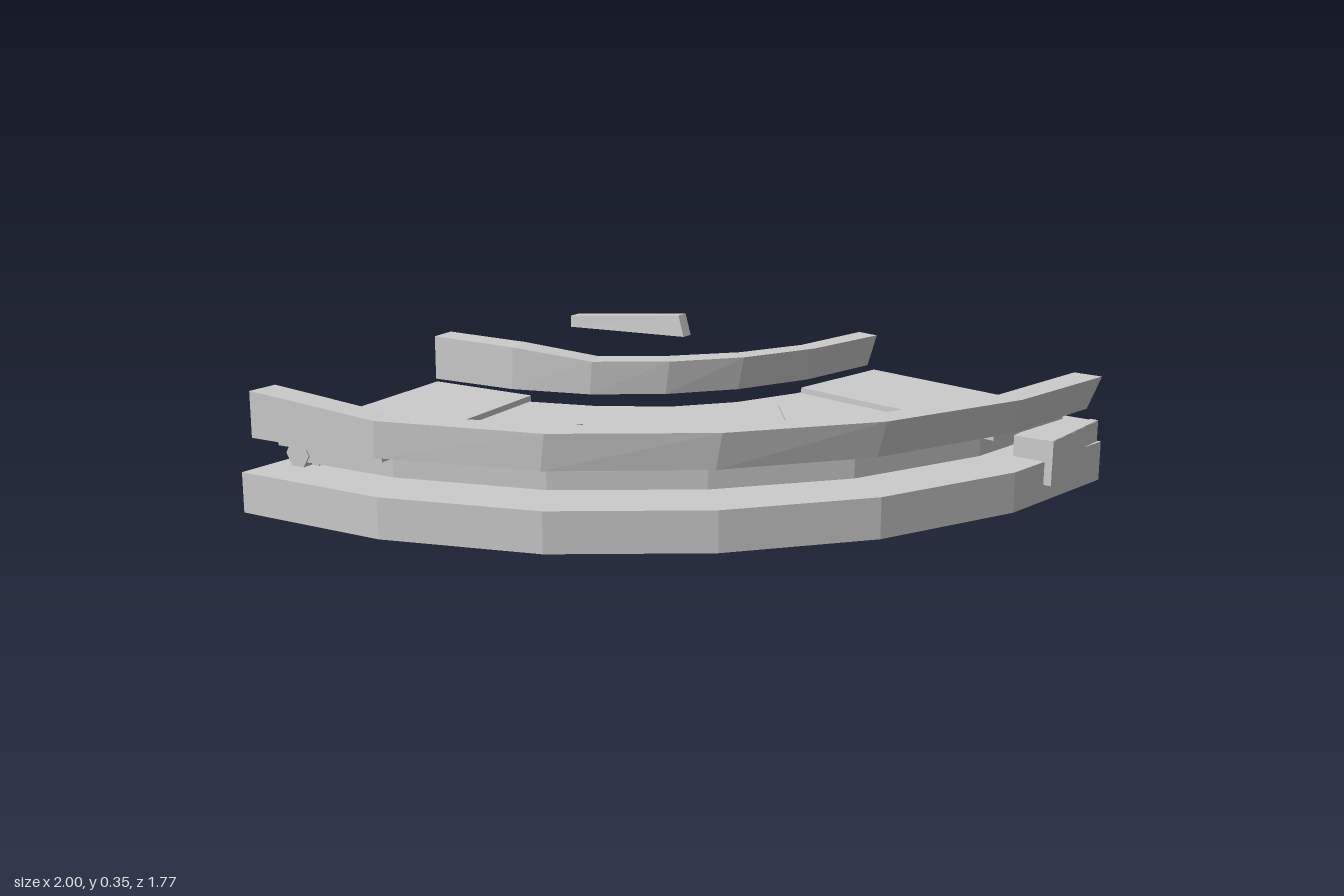
import * as THREE from 'three';

const mat = new THREE.MeshStandardMaterial({ color: 0xcccccc, flatShading: true });

// Solid swept through four-cornered rings: outer bottom, outer top, inner top, inner bottom
function loft(name, rings) {
  const pos = [];
  const quad = (a, b, c, d) => pos.push(...a, ...b, ...c, ...a, ...c, ...d);
  for (let i = 0; i < rings.length - 1; i++) {
    const s = rings[i], e = rings[i + 1];
    for (let k = 0; k < 4; k++) quad(s[k], e[k], e[(k + 1) % 4], s[(k + 1) % 4]);
  }
  const last = rings[rings.length - 1];
  quad(...rings[0]);
  quad(last[3], last[2], last[1], last[0]);
  const geo = new THREE.BufferGeometry();
  geo.setAttribute('position', new THREE.Float32BufferAttribute(pos, 3));
  geo.computeVertexNormals();
  const mesh = new THREE.Mesh(geo, mat);
  mesh.name = name;
  return mesh;
}

// Level slab between an outer and an inner line of [x, z] points
function slab(name, outer, inner, y0, y1) {
  return loft(name, outer.map(([x, z], i) => {
    const [u, w] = inner[i];
    return [[x, y0, z], [x, y1, z], [u, y1, w], [u, y0, w]];
  }));
}

// Rail whose top leans towards +x along the bend; the first tops can be raised
function rail(name, outer, inner, lean, raised) {
  const n = outer.length - 1;
  return loft(name, outer.map(([x, z], i) => {
    const [u, w] = inner[i], d = lean * i / n, top = raised[i] ?? 0.32;
    return [[x - d, 0.22, z], [x, top, z], [u, top, w], [u - d, 0.22, w]];
  }));
}

function box(name, w, h, d, x, y, z) {
  const mesh = new THREE.Mesh(new THREE.BoxGeometry(w, h, d), mat);
  mesh.position.set(x, y, z);
  mesh.name = name;
  return mesh;
}

// Bar lying between two [x, z] points
function bar(name, [x0, z0], [x1, z1], y, geoOf) {
  const mesh = new THREE.Mesh(geoOf(Math.hypot(x1 - x0, z1 - z0)), mat);
  mesh.position.set((x0 + x1) / 2, y, (z0 + z1) / 2);
  mesh.rotation.y = Math.atan2(-(z1 - z0), x1 - x0);
  mesh.name = name;
  return mesh;
}

export function createModel() {
  const g = new THREE.Group();
  g.name = 'curvedConveyor';

  // Base slab
  g.add(slab('base',
    [[-0.74, 0.88], [-0.28, 0.82], [0.14, 0.65], [0.49, 0.37], [0.76, 0.02], [0.93, -0.40], [0.98, -0.84]],
    [[-0.74, -0.02], [-0.52, -0.04], [-0.31, -0.12], [-0.15, -0.25], [-0.02, -0.42], [0.06, -0.62], [0.10, -0.84]],
    0, 0.115));

  // Belt
  g.add(slab('belt',
    [[-0.69, 0.75], [-0.34, 0.70], [0.06, 0.54], [0.39, 0.28], [0.64, -0.04], [0.80, -0.44], [0.84, -0.78]],
    [[-0.74, 0.10], [-0.43, 0.05], [-0.24, -0.03], [-0.06, -0.16], [0.06, -0.32], [0.14, -0.52], [0.20, -0.85]],
    0.13, 0.195));

  // End plates, rollers and feet
  g.add(slab('leftEndPlate', [[-0.69, 0.79], [-0.34, 0.74]], [[-0.775, 0.08], [-0.43, 0.04]], 0.18, 0.212));
  g.add(slab('backEndPlate', [[0.84, -0.44], [0.885, -0.78]], [[0.15, -0.53], [0.20, -0.87]], 0.18, 0.212));
  const roller = (l) => new THREE.CylinderGeometry(0.04, 0.04, l, 6).rotateZ(Math.PI / 2);
  g.add(bar('leftRoller', [-0.66, 0.75], [-0.74, 0.10], 0.15, roller));
  g.add(bar('backRoller', [0.20, -0.83], [0.86, -0.75], 0.15, roller));
  g.add(slab('leftFoot', [[-0.69, 0.72], [-0.62, 0.71]], [[-0.74, 0.14], [-0.67, 0.13]], 0.11, 0.135));
  g.add(slab('backFoot', [[0.80, -0.70], [0.82, -0.77]], [[0.23, -0.77], [0.24, -0.83]], 0.11, 0.135));

  // Chevron marks on the belt
  const strip = (l) => new THREE.BoxGeometry(l + 0.015, 0.01, 0.022);
  [[[0.07, 0.43], [-0.19, 0.32], [-0.13, 0.18]], [[0.59, -0.19], [0.38, -0.14], [0.21, -0.34]]].forEach((p) => {
    g.add(bar('chevronMark', p[0], p[1], 0.199, strip), bar('chevronMark', p[1], p[2], 0.199, strip));
  });

  // Side rails
  g.add(rail('outerRail',
    [[-0.69, 0.88], [-0.28, 0.82], [0.15, 0.65], [0.50, 0.37], [0.77, 0.02], [0.94, -0.40], [0.995, -0.785]],
    [[-0.69, 0.79], [-0.30, 0.74], [0.10, 0.58], [0.43, 0.32], [0.70, -0.02], [0.86, -0.40], [0.91, -0.785]],
    0.04, [0.35]));
  g.add(rail('innerRail',
    [[-0.78, 0.08], [-0.50, 0.04], [-0.27, -0.05], [-0.09, -0.19], [0.05, -0.37], [0.15, -0.60], [0.20, -0.88]],
    [[-0.79, 0.0], [-0.52, -0.04], [-0.30, -0.12], [-0.14, -0.25], [0.0, -0.42], [0.09, -0.62], [0.13, -0.89]],
    0.03, [0.352, 0.348]));

  // Drive housing with its hanging cover
  g.add(box('driveHousing', 0.12, 0.065, 0.29, 0.91, 0.143, -0.69));
  g.add(box('driveCover', 0.025, 0.13, 0.29, 0.957, 0.113, -0.69));

  // Loose tapered bar behind
  g.add(loft('looseBar', [
    [[-1, 0.205, -0.82], [-1, 0.245, -0.82], [-1, 0.245, -0.86], [-1, 0.205, -0.86]],
    [[-0.46, 0.25, -0.755], [-0.485, 0.318, -0.76], [-0.485, 0.318, -0.80], [-0.46, 0.25, -0.795]],
  ]));
  return g;
}
